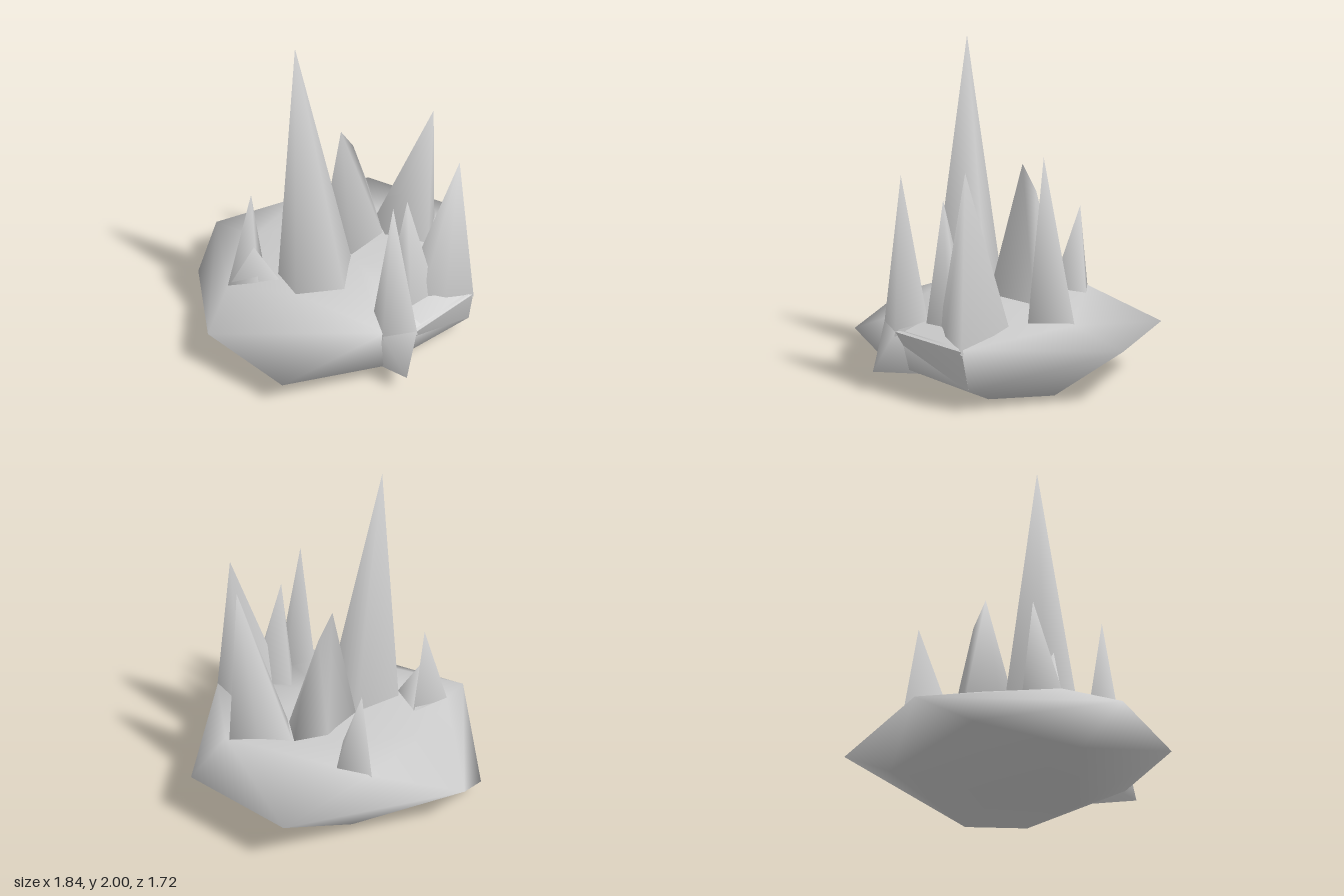
import * as THREE from 'three';
import { ConvexGeometry } from 'three/addons/geometries/ConvexGeometry.js';
import { mergeVertices, toCreasedNormals } from 'three/addons/utils/BufferGeometryUtils.js';

const material = new THREE.MeshStandardMaterial({ color: 0xcccccc });

// Hull of a few points: smooth by default, or with sharp edges above a crease angle
function hull(name, points, crease) {
  let geo = new ConvexGeometry(points.map(p => new THREE.Vector3(...p)));
  if (crease) {
    geo = toCreasedNormals(geo, crease);
  } else {
    geo.deleteAttribute('normal');
    geo = mergeVertices(geo, 1e-4);
    geo.computeVertexNormals();
  }
  const mesh = new THREE.Mesh(geo, material);
  mesh.name = name;
  return mesh;
}

// Pointed spire: a fan from the tip to a base loop sunk slightly into the rock
function spire(name, tip, base) {
  const cx = base.reduce((s, p) => s + p[0], 0) / base.length;
  const cz = base.reduce((s, p) => s + p[2], 0) / base.length;
  const angle = p => Math.atan2(cz - p[2], p[0] - cx);
  const loop = [...base].sort((a, b) => angle(a) - angle(b))
    .map(p => p.map((v, i) => v + (v - tip[i]) * 0.03));
  const n = loop.length, index = [];
  for (let i = 0; i < n; i++) index.push(i, (i + 1) % n, n);
  const geo = new THREE.BufferGeometry();
  geo.setAttribute('position', new THREE.Float32BufferAttribute([...loop, tip].flat(), 3));
  geo.setIndex(index);
  geo.computeVertexNormals();
  const mesh = new THREE.Mesh(geo, material);
  mesh.name = name;
  return mesh;
}

export function createModel() {
  const group = new THREE.Group();
  group.name = 'spiredRock';

  // Low, wide boulder
  group.add(hull('boulder', [
    // rim
    [0.43, 0.31, -0.86], [0.92, 0.32, -0.35], [0.69, 0.12, 0.47], [0.69, 0.36, 0.5],
    [0.04, 0.13, 0.74], [-0.57, 0.17, 0.77], [-0.92, 0.28, 0.35],
    [-0.85, 0.11, -0.43], [-0.67, 0.28, -0.69],
    // top
    [-0.74, 0.39, 0.08], [-0.43, 0.43, 0.155], [-0.37, 0.43, 0.31], [-0.08, 0.43, 0.38],
    [0.05, 0.4, 0.74], [0.25, 0.38, 0.73], [0.05, 0.48, 0.17], [0, 0.46, -0.35],
    [-0.1, 0.43, -0.62], [0.69, 0.43, -0.15], [-0.5, 0.42, -0.3],
    // underside
    [-0.82, 0.04, 0.15], [0.63, 0.01, -0.07], [0, 0, 0.43], [0.55, 0.01, 0.3],
    [-0.05, 0, -0.07], [0, 0.1, -0.67],
  ]));

  // Narrow spur at the front and the undercut ledge beside it
  group.add(hull('frontSpur', [
    [0.04, 0.38, 0.75], [0.25, 0.37, 0.75], [0.16, 0.12, 0.86], [0.02, 0.12, 0.7],
    [0.24, 0.1, 0.6], [0.2, 0.42, 0.55],
  ]));
  group.add(hull('sideLedge', [
    [0.25, 0.37, 0.75], [0.69, 0.35, 0.51], [0.69, 0.12, 0.47], [0.24, 0.1, 0.6],
    [0.2, 0.42, 0.5], [0.5, 0.43, 0.45], [0.5, 0.1, 0.4],
  ], 0.6));

  // Main spires
  group.add(spire('tallSpire', [-0.29, 2, 0.11],
    [[-0.43, 0.42, 0.1], [-0.37, 0.43, 0.31], [-0.08, 0.43, 0.36], [0.04, 0.43, 0.11], [-0.13, 0.45, -0.06]]));
  group.add(spire('rightSpire', [-0.55, 0.98, -0.01],
    [[-0.74, 0.39, 0.08], [-0.56, 0.41, 0.13], [-0.49, 0.42, -0.06]]));
  group.add(spire('leftSpire', [0.57, 1.37, -0.02],
    [[0.67, 0.43, -0.17], [0.55, 0.45, 0.06], [0.3, 0.45, -0.06], [0.3, 0.45, -0.26], [0.5, 0.44, -0.2]]));
  group.add(spire('innerFrontSpire', [0.26, 1.11, 0.46],
    [[0.23, 0.45, 0.3], [0.45, 0.43, 0.42], [0.45, 0.42, 0.5], [0.27, 0.41, 0.57], [0.2, 0.43, 0.5]]));
  group.add(spire('leftFrontSpire', [0.57, 1.31, 0.44],
    [[0.69, 0.36, 0.51], [0.56, 0.45, 0.19], [0.28, 0.44, 0.42], [0.35, 0.39, 0.52], [0.5, 0.37, 0.54]]));
  group.add(spire('frontSpire', [0.11, 1.24, 0.66],
    [[0.04, 0.38, 0.75], [0.25, 0.37, 0.75], [0.23, 0.42, 0.55], [0.04, 0.42, 0.57]]));
  group.add(spire('backSpire', [-0.07, 0.95, -0.55],
    [[-0.12, 0.43, -0.63], [0.07, 0.43, -0.53], [0, 0.46, -0.33]]));

  // Central spire, a broad blade with a sloping shoulder that meets the tall spire
  group.add(hull('centreSpire', [
    [0.03, 1.25, -0.12], [0.12, 1.1, -0.17], [0.23, 0.76, -0.22],
    [0.04, 0.43, 0.11], [0.15, 0.43, -0.02], [0.3, 0.43, -0.08], [0.29, 0.43, -0.27],
    [0.08, 0.43, -0.26], [-0.13, 0.43, -0.06],
  ]));

  // Low shoulder in front of the right spire
  group.add(spire('rightShoulder', [-0.57, 0.67, 0.1],
    [[-0.73, 0.39, 0.08], [-0.43, 0.42, 0.155], [-0.5, 0.43, -0.06]]));

  return group;
}
